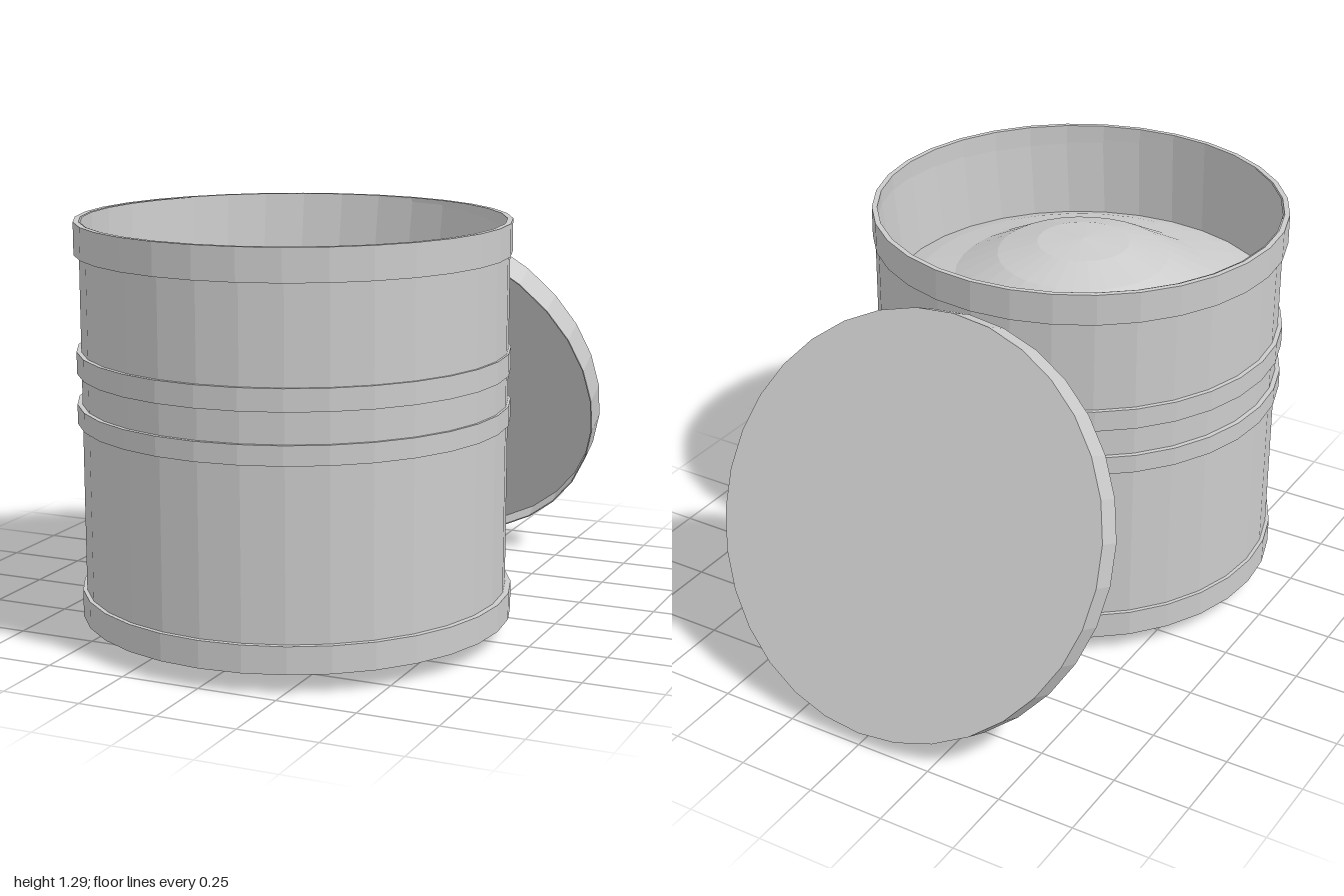
import * as THREE from 'three';

const SIDES = 32;
const material = new THREE.MeshStandardMaterial({
  color: 0xcccccc, flatShading: true, side: THREE.DoubleSide,
});

// Turned part from [radius, height] pairs
function turned(name, profile, x = 0, z = 0) {
  const points = profile.map(([r, y]) => new THREE.Vector2(r, y));
  const mesh = new THREE.Mesh(new THREE.LatheGeometry(points, SIDES), material);
  mesh.name = name;
  mesh.position.set(x, 0, z);
  return mesh;
}

export function createModel() {
  const model = new THREE.Group();
  model.name = 'openBarrel';

  const barrel = new THREE.Group();
  barrel.name = 'barrel';
  barrel.position.z = 0.329;
  model.add(barrel);

  // Outer wall with closed bottom
  barrel.add(turned('wall', [[0, 0.068], [0.657, 0.068], [0.657, 1.293]]));

  // Raised hoops: name, bottom, top, radius, sideways offset
  const hoops = [
    ['baseHoop', 0.065, 0.15, 0.672, 0.003],
    ['lowerHoop', 0.677, 0.737, 0.669, -0.004],
    ['upperHoop', 0.832, 0.9, 0.668, -0.004],
    ['rimHoop', 1.196, 1.296, 0.669, -0.005],
  ];
  for (const [name, y0, y1, r, x] of hoops) {
    barrel.add(turned(name, [[0.652, y0], [r, y0], [r, y1], [0.652, y1], [0.652, y0]], x));
  }
  barrel.add(turned('baseDisc', [[0, 0.065], [0.66, 0.065]], 0.003));

  // Inner wall, leaning slightly towards the contents at its foot
  const lining = turned('innerWall', [[0.633, 0.975], [0.652, 1.295]]);
  const p = lining.geometry.attributes.position;
  for (let i = 0; i < p.count; i++) {
    const k = (1.295 - p.getY(i)) / 0.32;
    p.setX(i, p.getX(i) - 0.01 * k);
    p.setZ(i, p.getZ(i) + 0.013 * k);
  }
  barrel.add(lining);

  // Heaped contents
  barrel.add(turned('contents', [
    [0.635, 0.975], [0.55, 1.005], [0.42, 1.04], [0.28, 1.115], [0.15, 1.155], [0, 1.167],
  ], -0.01, 0.013));

  // Shallow hollow lid leaning against the back
  const lid = turned('lid', [
    [0, 0.003], [0.65, 0.003], [0.652, -0.0475], [0.656, -0.0475], [0.656, 0.0475], [0, 0.0475],
  ]);
  lid.position.set(0, 0.615, -0.669);
  lid.rotation.x = -1.12;
  model.add(lid);

  return model;
}
